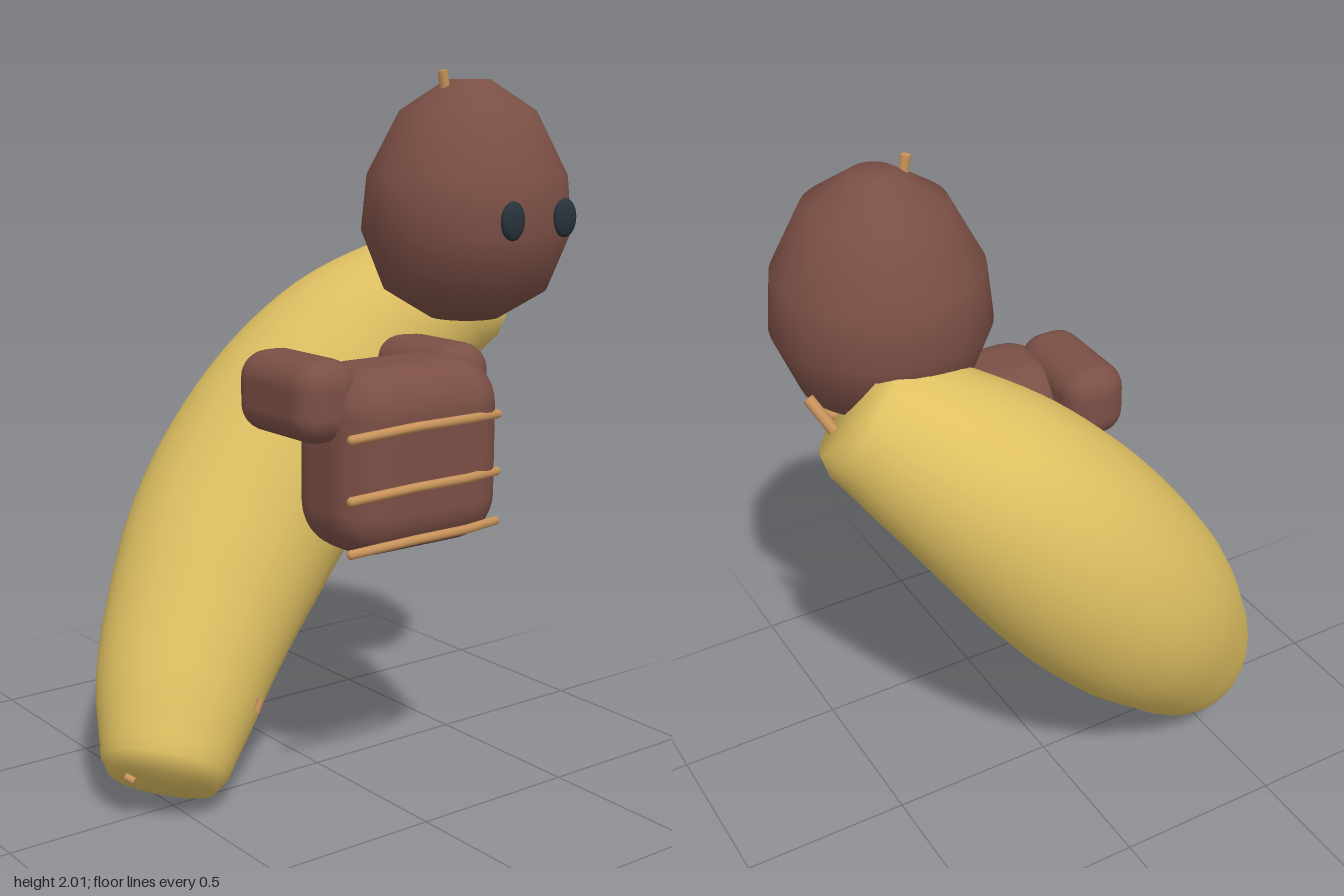
import * as THREE from 'three';
import { RoundedBoxGeometry } from 'three/addons/geometries/RoundedBoxGeometry.js';

const V = (x, y, z) => new THREE.Vector3(x, y, z);

function material(name, color) {
  const m = new THREE.MeshStandardMaterial({ color });
  m.name = name;
  return m;
}

// Curved, tapered body: rings of changing radius along a spline, closed at both ends
function taperedTube(path, radii, rows, sides) {
  const radiusCurve = new THREE.SplineCurve(radii.map((r, i) => new THREE.Vector2(i, r)));
  const frames = path.computeFrenetFrames(rows, false);
  const pos = [], idx = [];
  const ring = (i, scale) => {
    const c = path.getPointAt(i / rows);
    const r = radiusCurve.getPoint(i / rows).y * scale;
    for (let j = 0; j < sides; j++) {
      const a = (j / sides) * Math.PI * 2;
      const p = c.clone()
        .addScaledVector(frames.normals[i], Math.cos(a) * r)
        .addScaledVector(frames.binormals[i], Math.sin(a) * r);
      pos.push(p.x, p.y, p.z);
    }
  };
  ring(0, 0);
  ring(0, 0.86);
  for (let i = 1; i < rows; i++) ring(i, 1);
  ring(rows, 0.86);
  ring(rows, 0);
  for (let i = 0; i < rows + 2; i++) {
    for (let j = 0; j < sides; j++) {
      const a = i * sides + j, b = i * sides + (j + 1) % sides;
      const c = a + sides, d = b + sides;
      idx.push(a, b, c, b, d, c);
    }
  }
  const g = new THREE.BufferGeometry();
  g.setAttribute('position', new THREE.Float32BufferAttribute(pos, 3));
  g.setIndex(idx);
  g.computeVertexNormals();
  return g;
}

export function createModel() {
  const group = new THREE.Group();
  const yellow = material('peel yellow', 0xdfc062);
  const brown = material('fur brown', 0x7b4f45);
  const tan = material('twine tan', 0xc8935a);
  const black = material('eye black', 0x28323a);

  const add = (name, geometry, mat, x = 0, y = 0, z = 0) => {
    const mesh = new THREE.Mesh(geometry, mat);
    mesh.name = name;
    mesh.position.set(x, y, z);
    group.add(mesh);
    return mesh;
  };

  // Leaning banana
  const spine = new THREE.CatmullRomCurve3([
    V(-0.555, 0.085, 0.035), V(-0.37, 0.39, -0.11), V(-0.08, 0.78, -0.21),
    V(0.24, 1.165, -0.155), V(0.545, 1.42, 0.045),
  ]);
  const girth = [0.172, 0.23, 0.268, 0.3, 0.313, 0.308, 0.283, 0.238, 0.185];
  add('banana', taperedTube(spine, girth, 40, 32), yellow);

  // Head: few levels in height, smooth around
  const headProfile = [
    [0, 1.315], [0.1, 1.315], [0.23, 1.395], [0.295, 1.56],
    [0.28, 1.715], [0.19, 1.89], [0.06, 1.975], [0, 1.975],
  ].map(([r, y]) => new THREE.Vector2(r, y));
  add('head', new THREE.LatheGeometry(headProfile, 40), brown, 0.387, 0, 0.178);

  // Eyes
  for (const [name, x] of [['rightEye', 0.302], ['leftEye', 0.492]]) {
    add(name, new THREE.SphereGeometry(1, 20, 14), black, x, 1.607, 0.463).scale.set(0.04, 0.053, 0.02);
  }

  // Torso and arms
  add('torso', new RoundedBoxGeometry(0.53, 0.51, 0.34, 4, 0.13), brown, 0.045, 0.99, 0.31);
  for (const [name, x] of [['rightArm', -0.222], ['leftArm', 0.232]]) {
    add(name, new RoundedBoxGeometry(0.19, 0.22, 0.355, 4, 0.075), brown, x, 1.16, 0.213);
  }

  // Bands across the chest
  for (const y of [1.103, 0.943, 0.803]) {
    const band = new THREE.CatmullRomCurve3([
      V(-0.24, y - 0.018, 0.472), V(-0.09, y, 0.51), V(0.1, y, 0.51), V(0.285, y - 0.018, 0.437),
    ]);
    add('chestBand', new THREE.TubeGeometry(band, 3, 0.013, 8), tan);
    for (const t of [0, 1]) {
      const cap = add('bandEnd', new THREE.SphereGeometry(0.013, 8, 6), tan);
      cap.position.copy(band.getPoint(t));
    }
  }

  // Small twigs on the head and banana
  const twig = (name, a, b, r) => {
    const dir = b.clone().sub(a);
    const mesh = add(name, new THREE.CylinderGeometry(r, r, dir.length(), 8), tan);
    mesh.position.copy(a).addScaledVector(dir, 0.5);
    mesh.quaternion.setFromUnitVectors(V(0, 1, 0), dir.normalize());
  };
  twig('headTwig', V(0.305, 1.93, 0.18), V(0.292, 1.998, 0.18), 0.014);
  twig('upperTwig', V(0.625, 1.395, -0.015), V(0.662, 1.468, 0.05), 0.016);
  twig('collarTwig', V(0.56, 1.342, 0.13), V(0.59, 1.36, 0.14), 0.014);
  twig('lowerTwig', V(-0.305, 0.265, 0.13), V(-0.29, 0.3, 0.13), 0.01);
  twig('tipTwig', V(-0.672, 0.14, 0.04), V(-0.655, 0.128, 0.06), 0.01);

  return group;
}
